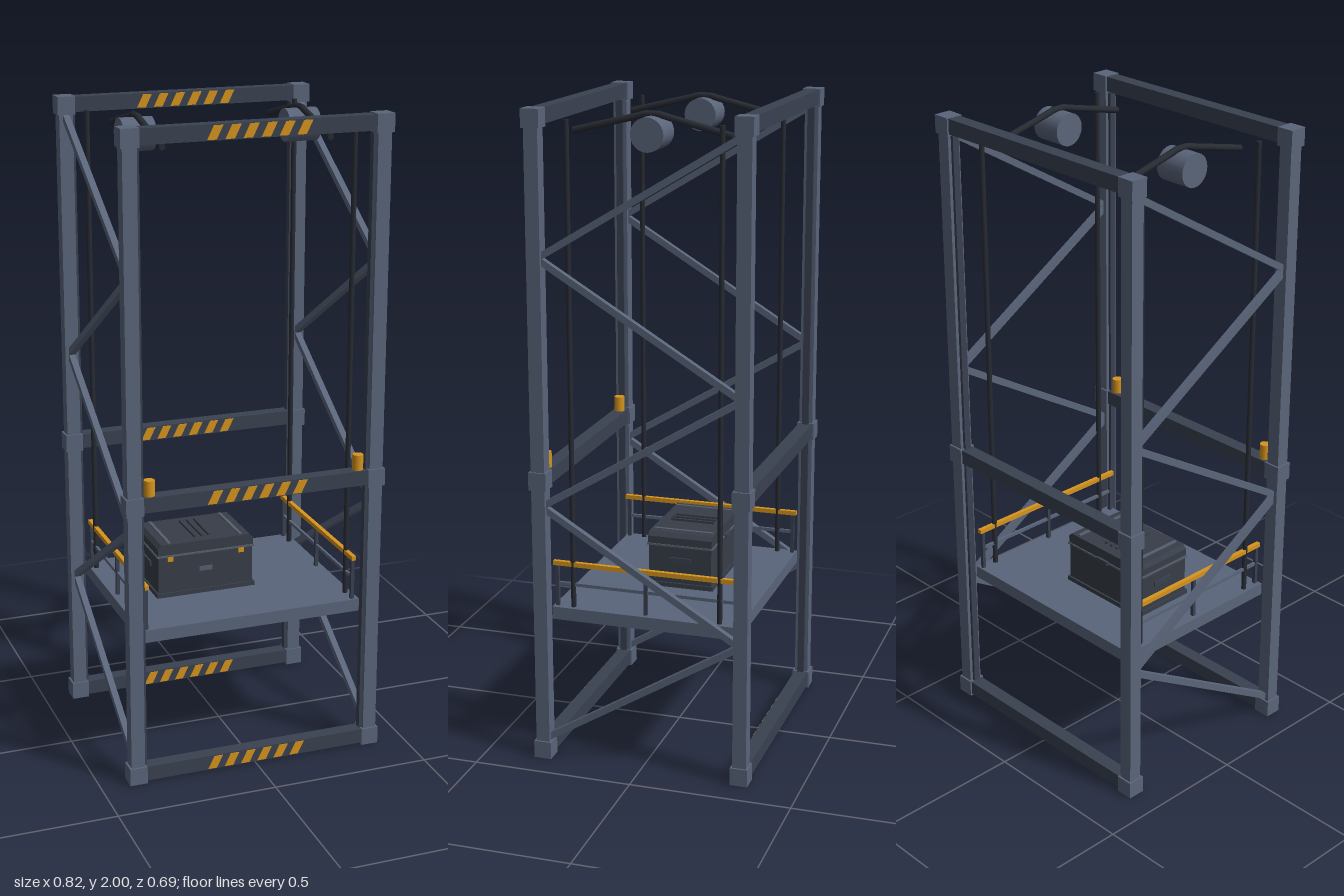
import * as THREE from 'three';

const material = (name, color, side = THREE.FrontSide) => {
  const m = new THREE.MeshStandardMaterial({ color, side });
  m.name = name;
  return m;
};

export function createModel() {
  const steel = material('blue grey steel', 0x5a657a);
  const dark = material('dark steel', 0x394150);
  const yellow = material('safety yellow', 0xd6941e);
  const rope = material('rope black', 0x272b33);
  const caseMat = material('case charcoal', 0x373d48);
  const trim = material('case trim', 0x565f70);

  const model = new THREE.Group();
  model.name = 'hoistTower';
  const group = (name, parent = model) => {
    const g = new THREE.Group();
    g.name = name;
    parent.add(g);
    return g;
  };
  const add = (parent, name, geo, mat, x = 0, y = 0, z = 0) => {
    const m = new THREE.Mesh(geo, mat);
    m.name = name;
    m.position.set(x, y, z);
    parent.add(m);
    return m;
  };
  const box = (parent, name, mat, w, h, d, x, y, z) =>
    add(parent, name, new THREE.BoxGeometry(w, h, d), mat, x, y, z);

  const PX = 0.384, PZ = 0.315, levels = [0.0275, 0.8975, 1.9725];
  const sides = [-1, 1];

  // Corner posts, guide rails and joint blocks
  const frame = group('frame');
  for (const sx of sides) for (const sz of sides) {
    box(frame, 'post', steel, 0.043, 1.98, 0.043, sx * PX, 0.99, sz * PZ);
    box(frame, 'guideRail', dark, 0.01, 1.89, 0.022, sx * 0.358, 1, sz * PZ);
    for (const y of levels)
      box(frame, 'jointBlock', steel, 0.055, 0.055, 0.055, sx * PX, y, sz * PZ);
  }

  // Cross beams with slanted hazard stripes on their front faces
  const stripe = new THREE.Shape([[-0.024, -0.02], [0.004, -0.02], [0.024, 0.02], [-0.004, 0.02]]
    .map(p => new THREE.Vector2(...p)));
  const stripeGeo = new THREE.ExtrudeGeometry(stripe, { depth: 0.003, bevelEnabled: false });
  for (const sz of sides) for (const y of levels) {
    box(frame, 'crossBeam', dark, 0.72, 0.046, 0.044, 0, y + 0.002, sz * PZ);
    for (let i = 0; i < 6; i++)
      add(frame, 'hazardStripe', stripeGeo, yellow, -0.135 + i * 0.054, y + 0.002, sz * PZ + 0.0215);
  }

  // Zigzag side bracing
  for (const sx of sides) for (let i = 0; i < 5; i++) {
    const dir = i % 2 ? 1 : -1, dy = 0.377, dz = 0.62 * dir;
    const b = box(frame, 'brace', steel, 0.02, 0.02, Math.hypot(dy, dz),
      sx * PX, 0.06 + (i + 0.5) * dy, 0);
    b.rotation.x = -Math.atan2(dy, dz);
  }

  // Warning lamps on the front middle beam
  for (const sx of sides)
    add(frame, 'warningLamp', new THREE.CylinderGeometry(0.017, 0.017, 0.05, 12), yellow, sx * 0.332, 0.946, PZ);

  // Lift platform with side railings
  const lift = group('lift');
  box(lift, 'platform', steel, 0.714, 0.04, 0.59, 0, 0.465, 0);
  for (const sx of sides) {
    const x = sx * 0.337;
    box(lift, 'handRail', yellow, 0.014, 0.014, 0.59, x, 0.622, 0);
    box(lift, 'midRail', steel, 0.008, 0.01, 0.57, x, 0.557, 0);
    for (const z of [-0.283, 0, 0.283])
      box(lift, 'railPost', dark, 0.011, 0.135, 0.011, x, 0.55, z);
    for (const z of [-0.232, 0.232])
      add(lift, 'hoistCable', new THREE.CylinderGeometry(0.008, 0.008, 1.48, 10), rope, x, 1.225, z);
  }

  // Winch drums with the rope laid over each one
  const hoist = group('hoist');
  const path = new THREE.CurvePath();
  const pts = [[0.24, 1.925], [0.045, 1.972], [0.02, 1.979], [-0.02, 1.979], [-0.045, 1.972], [-0.24, 1.925]]
    .map(([z, y]) => new THREE.Vector3(0, y, z));
  for (let i = 1; i < pts.length; i++) path.add(new THREE.LineCurve3(pts[i - 1], pts[i]));
  for (const sx of sides) {
    const drum = add(hoist, 'drum', new THREE.CylinderGeometry(0.05, 0.05, 0.1, 24), steel, sx * 0.259, 1.925, 0);
    drum.rotation.z = Math.PI / 2;
    add(hoist, 'drumRope', new THREE.TubeGeometry(path, 50, 0.01, 8), rope, sx * 0.257, 0, 0);
    for (const sz of sides) {
      const cap = add(hoist, 'ropeEnd', new THREE.CircleGeometry(0.01, 8), rope, sx * 0.257, 1.925, sz * 0.24);
      if (sz < 0) cap.rotation.y = Math.PI;
    }
  }

  // Equipment case
  const kit = group('equipmentCase');
  kit.position.set(-0.071, 0.485, -0.028);
  box(kit, 'caseBase', caseMat, 0.324, 0.014, 0.216, 0, 0.007, 0);
  box(kit, 'caseBody', caseMat, 0.312, 0.122, 0.204, 0, 0.075, 0);
  box(kit, 'lidSeam', trim, 0.322, 0.006, 0.214, 0, 0.136, 0);
  const lid = new THREE.Shape([[-0.158, 0], [0.158, 0], [0.158, 0.024], [0.146, 0.036], [-0.146, 0.036], [-0.158, 0.024]]
    .map(p => new THREE.Vector2(...p)));
  add(kit, 'caseLid', new THREE.ExtrudeGeometry(lid, { depth: 0.208, bevelEnabled: false }), caseMat, 0, 0.138, -0.104);
  for (const sx of sides) {
    box(kit, 'lidStrap', trim, 0.01, 0.005, 0.194, sx * 0.118, 0.1755, 0);
    box(kit, 'latch', yellow, 0.017, 0.016, 0.006, sx * 0.117, 0.126, 0.105);
    box(kit, 'sideHandle', dark, 0.006, 0.016, 0.07, sx * 0.158, 0.09, 0);
  }
  for (const x of [-0.024, 0, 0.024])
    box(kit, 'lidRib', caseMat, 0.008, 0.008, 0.142, x, 0.177, 0);
  box(kit, 'frontPlate', trim, 0.044, 0.014, 0.005, 0, 0.08, 0.1035);
  box(kit, 'rearHinge', dark, 0.046, 0.014, 0.01, 0, 0.136, -0.108);

  return model;
}
